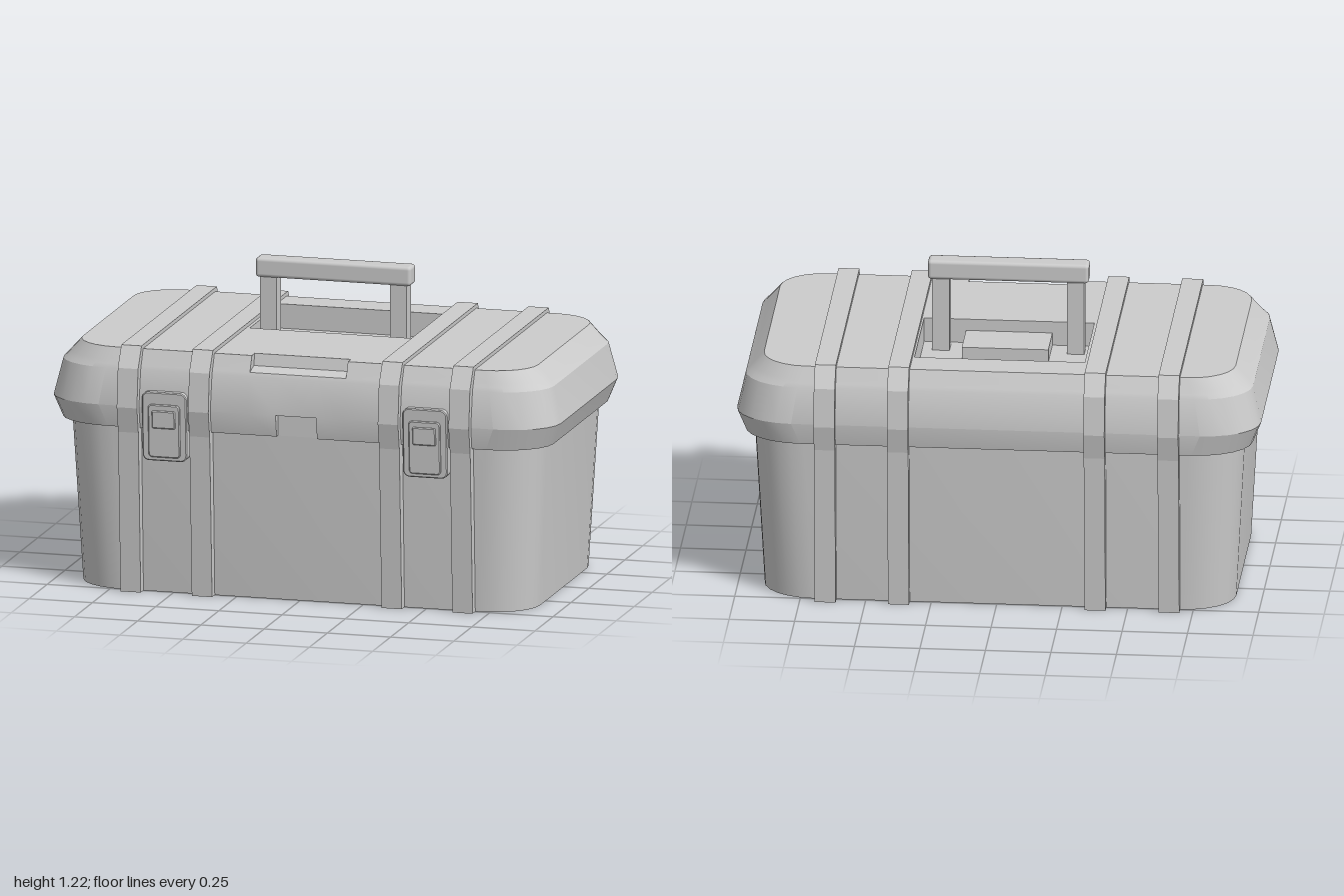
import * as THREE from 'three';
import { toCreasedNormals } from 'three/addons/utils/BufferGeometryUtils.js';
import { RoundedBoxGeometry } from 'three/addons/geometries/RoundedBoxGeometry.js';

const grey = new THREE.MeshStandardMaterial({ color: 0xcccccc, side: THREE.DoubleSide });

function add(parent, name, geometry, x = 0, y = 0, z = 0) {
  const mesh = new THREE.Mesh(geometry, grey);
  mesh.name = name;
  mesh.position.set(x, y, z);
  parent.add(mesh);
  return mesh;
}

// Extra points along the lid's front: [x, kind], kind 1 = finger groove, 2 = groove and tab cut-out
const frontPoints = [[0.19, 0], [0.19, 1], [0.08, 1], [0.08, 2], [-0.08, 2], [-0.08, 1], [-0.19, 1], [-0.19, 0]];

// Rounded rectangle ring at one level
function ring({ y, hx, hz, rx = 0.2, rz = 0.17, groove, tab }, extra) {
  const points = [];
  const segments = 6;
  [[1, 1], [-1, 1], [-1, -1], [1, -1]].forEach(([sx, sz], corner) => {
    for (let i = 0; i <= segments; i++) {
      const a = (corner + i / segments) * Math.PI / 2;
      points.push(new THREE.Vector3(sx * (hx - rx) + rx * Math.cos(a), y, sz * (hz - rz) + rz * Math.sin(a)));
    }
    if (corner === 0) {
      for (const [x, kind] of extra) {
        let z = hz;
        if (kind >= 1 && groove) z = groove;
        if (kind === 2 && tab) z = tab;
        points.push(new THREE.Vector3(x, y, z));
      }
    }
  });
  return points;
}

// Skin between successive rings, skipping collapsed triangles
function loft(levels, extra = []) {
  const rings = levels.map((level) => ring(level, extra));
  const positions = [];
  const triangle = new THREE.Triangle();
  const push = (a, b, c) => {
    if (triangle.set(a, b, c).getArea() > 1e-7) for (const p of [a, b, c]) positions.push(p.x, p.y, p.z);
  };
  for (let j = 0; j < rings.length - 1; j++) {
    const low = rings[j], high = rings[j + 1], n = low.length;
    for (let i = 0; i < n; i++) {
      const k = (i + 1) % n;
      push(low[i], high[i], high[k]);
      push(low[i], high[k], low[k]);
    }
  }
  const geometry = new THREE.BufferGeometry();
  geometry.setAttribute('position', new THREE.Float32BufferAttribute(positions, 3));
  geometry.computeVertexNormals();
  return toCreasedNormals(geometry, 0.35);
}

// Rounded plate in the xy plane, leaning forward towards its top
function latchPlate(width, bottom, top, radius, back, front) {
  const w = width / 2, r = radius;
  const shape = new THREE.Shape();
  shape.moveTo(-w + r, bottom);
  shape.absarc(w - r, bottom + r, r, -Math.PI / 2, 0);
  shape.absarc(w - r, top - r, r, 0, Math.PI / 2);
  shape.absarc(-w + r, top - r, r, Math.PI / 2, Math.PI);
  shape.absarc(-w + r, bottom + r, r, Math.PI, Math.PI * 1.5);
  const bevel = 0.004;
  const geometry = new THREE.ExtrudeGeometry(shape, {
    depth: front - back - bevel, curveSegments: 4,
    bevelThickness: bevel, bevelSize: bevel, bevelOffset: -bevel, bevelSegments: 1,
  });
  geometry.translate(0, 0, back);
  const p = geometry.attributes.position;
  for (let i = 0; i < p.count; i++) p.setZ(i, p.getZ(i) + (p.getY(i) - 0.525) * 0.05);
  geometry.computeVertexNormals();
  return geometry;
}

export function createModel() {
  const model = new THREE.Group();
  model.name = 'toolbox';

  // Tapered body, open underneath
  add(model, 'body', loft([
    { y: 0, hx: 0.9, hz: 0.497 },
    { y: 0.645, hx: 0.935, hz: 0.523 },
  ]));

  // Lid sides with the finger groove and the tab cut-out in front
  const lidLevels = [
    { y: 0.645, hx: 0.935, hz: 0.523 },
    { y: 0.645, hx: 0.967, hz: 0.545, rx: 0.22, tab: 0.527 },
    { y: 0.73, hx: 1, hz: 0.56, rx: 0.22, tab: 0.527 },
    { y: 0.73, hx: 1, hz: 0.56, rx: 0.22 },
    { y: 0.87, hx: 0.968, hz: 0.536, rx: 0.21 },
    { y: 0.885, hx: 0.954, hz: 0.529, rx: 0.205 },
    { y: 0.9, hx: 0.941, hz: 0.522, rx: 0.195, groove: 0.475 },
    { y: 0.945, hx: 0.9, hz: 0.502, rx: 0.17, rz: 0.15, groove: 0.462 },
  ];
  const lid = new THREE.Group();
  lid.name = 'lid';
  model.add(lid);
  add(lid, 'lidSides', loft(lidLevels, frontPoints));

  // Lid top with an opening for the handle well
  const well = { hx: 0.325, back: -0.37, front: 0.055, floor: 0.85 };
  const top = new THREE.Shape(ring(lidLevels.at(-1), frontPoints).map((p) => new THREE.Vector2(p.x, -p.z)));
  top.holes.push(new THREE.Path([
    [-well.hx, -well.front], [-well.hx, -well.back], [well.hx, -well.back], [well.hx, -well.front],
  ].map(([x, y]) => new THREE.Vector2(x, y))));
  add(lid, 'lidTop', new THREE.ShapeGeometry(top).rotateX(-Math.PI / 2), 0, 0.945, 0);

  // Handle well: a box without its top face
  const depth = 0.945 - well.floor;
  const wellBox = new THREE.BoxGeometry(well.hx * 2, depth, well.front - well.back);
  wellBox.setIndex(Array.from(wellBox.index.array).filter((_, i) => i < 12 || i >= 18));
  add(lid, 'handleWell', wellBox, 0, well.floor + depth / 2, (well.front + well.back) / 2);
  add(lid, 'wellBlock', new THREE.BoxGeometry(0.33, 0.05, 0.183), 0, well.floor + 0.025, -0.038);

  // Carrying handle
  const handle = new THREE.Group();
  handle.name = 'handle';
  model.add(handle);
  add(handle, 'handleBar', new RoundedBoxGeometry(0.615, 0.076, 0.077, 2, 0.014), -0.004, 1.177, -0.007);
  for (const x of [-0.261, 0.253]) {
    add(handle, 'handlePost', new THREE.BoxGeometry(0.066, 0.3, 0.06), x, 1.0, -0.007);
  }

  // Straps running up the front, over the lid and down the back
  const outer = [[0.535, 0], [0.568, 0.63], [0.588, 0.73], [0.572, 0.88], [0.523, 0.96]];
  const inner = [[0.496, 0], [0.521, 0.64], [0.543, 0.65], [0.556, 0.73], [0.532, 0.87], [0.498, 0.94]];
  const mirrored = (half) => [...half, ...half.map(([z, y]) => [-z, y]).reverse()];
  const strapShape = new THREE.Shape([...mirrored(outer), ...mirrored(inner).reverse()]
    .map(([z, y]) => new THREE.Vector2(z, y)));
  const strap = new THREE.ExtrudeGeometry(strapShape, { depth: 0.08, bevelEnabled: false });
  strap.translate(0, 0, -0.04).rotateY(-Math.PI / 2);
  for (const x of [-0.66, -0.378, 0.372, 0.652]) add(model, 'strap', strap, x);

  // Front latches
  for (const x of [-0.517, 0.513]) {
    const latch = new THREE.Group();
    latch.name = 'latch';
    latch.position.x = x;
    model.add(latch);
    add(latch, 'latchFrame', latchPlate(0.175, 0.525, 0.795, 0.025, 0.522, 0.563));
    add(latch, 'latchFlap', latchPlate(0.125, 0.54, 0.748, 0.015, 0.55, 0.571));
    add(latch, 'latchButton', latchPlate(0.092, 0.655, 0.725, 0.006, 0.56, 0.577));
  }
  return model;
}
